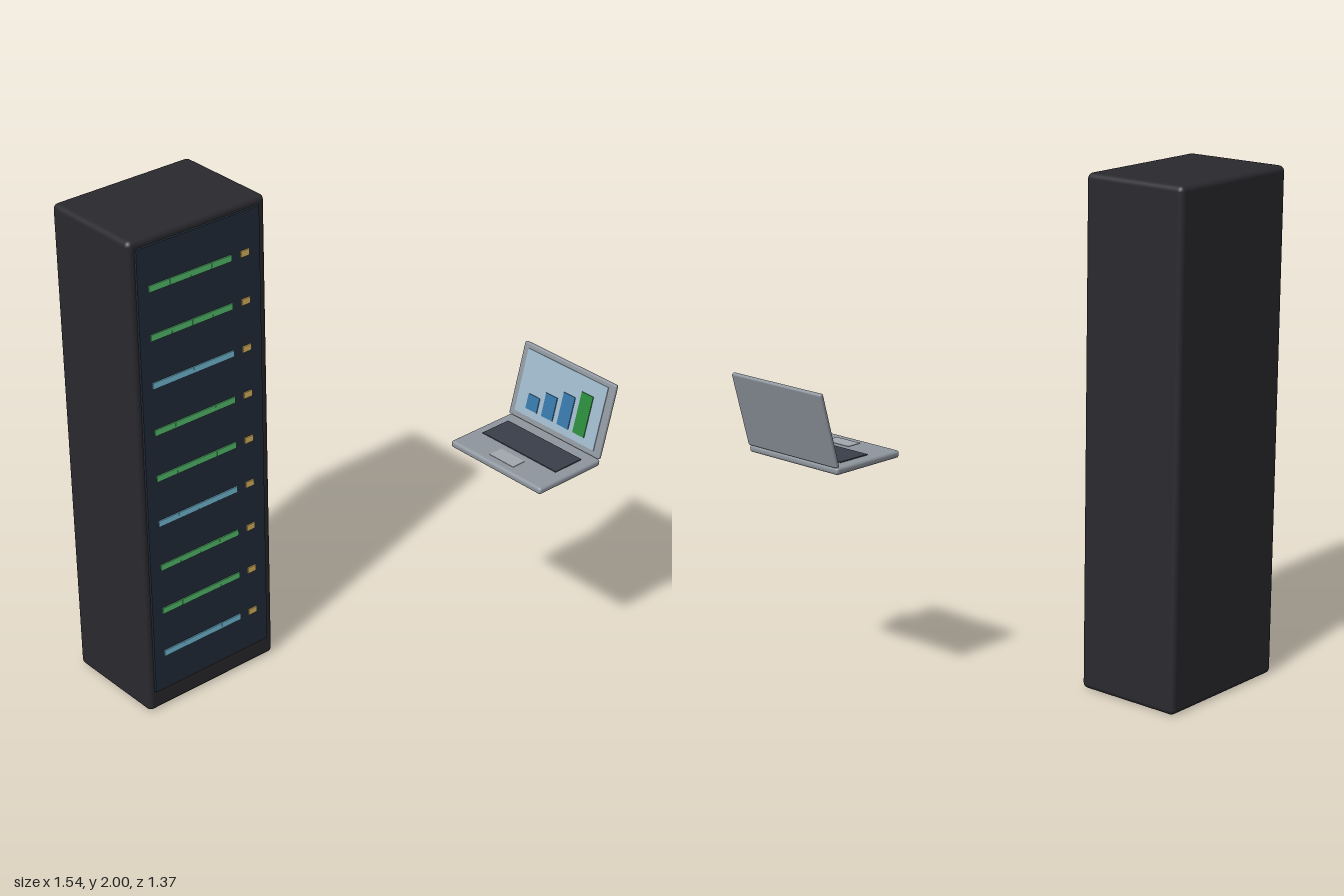
import * as THREE from 'three';
import { RoundedBoxGeometry } from 'three/addons/geometries/RoundedBoxGeometry.js';

const paint = (color) => new THREE.MeshStandardMaterial({ color });
const mats = {
  cabinet: paint(0x2a292e), panel: paint(0x222c3a),
  green: paint(0x57c470), blue: paint(0x78c4e0), amber: paint(0xdfba62),
  shell: paint(0x8f969e), keys: paint(0x3a3f49), pad: paint(0xa3a8b0),
  screen: paint(0x9fb8ca), bar: paint(0x3676a6), tallBar: paint(0x2a8a3a),
};

// Box spanning [x0,x1] x [y0,y1] x [z0,z1], with optional rounded edges
function span(parent, name, mat, [x0, x1], [y0, y1], [z0, z1], radius = 0) {
  const size = [x1 - x0, y1 - y0, z1 - z0];
  const geo = radius ? new RoundedBoxGeometry(...size, 3, radius) : new THREE.BoxGeometry(...size);
  const mesh = new THREE.Mesh(geo, mat);
  mesh.name = name;
  mesh.position.set((x0 + x1) / 2, (y0 + y1) / 2, (z0 + z1) / 2);
  parent.add(mesh);
  return mesh;
}

function buildRack() {
  const rack = new THREE.Group();
  rack.name = 'serverRack';
  span(rack, 'cabinet', mats.cabinet, [-0.77, -0.15], [0, 2], [-0.688, -0.242], 0.022);
  span(rack, 'frontPanel', mats.panel, [-0.743, -0.188], [0.09, 1.97], [-0.26, -0.232]);

  // Nine rows of status lights; every third row is blue
  for (let row = 0; row < 9; row++) {
    const y = 1.805 - row * 0.194;
    const height = [y - 0.0125, y + 0.0125];
    const depth = [-0.24, -0.227];
    for (let i = 0; i < 4; i++) {
      const x = -0.696 + i * 0.0937;
      span(rack, 'statusLight', row % 3 === 2 ? mats.blue : mats.green, [x, x + 0.0925], height, depth);
    }
    span(rack, 'warningLight', mats.amber, [-0.279, -0.241], height, depth);
  }
  return rack;
}

function buildLaptop() {
  const laptop = new THREE.Group();
  laptop.name = 'laptop';
  span(laptop, 'base', mats.shell, [0.366, 0.69], [0.945, 0.974], [0.212, 0.686], 0.012);
  span(laptop, 'keyboard', mats.keys, [0.494, 0.631], [0.968, 0.978], [0.255, 0.641]);
  span(laptop, 'trackpad', mats.pad, [0.402, 0.464], [0.968, 0.976], [0.386, 0.51]);

  // Lid is modelled upright from its lower edge, then leaned back
  const lid = new THREE.Group();
  lid.name = 'lid';
  lid.position.set(0.684, 0.974, 0);
  lid.rotation.z = -THREE.MathUtils.degToRad(14.5);
  span(lid, 'lidShell', mats.shell, [-0.009, 0.009], [0, 0.3], [0.212, 0.686], 0.007);
  span(lid, 'screen', mats.screen, [-0.012, 0], [0.025, 0.28], [0.24, 0.655]);

  // Bar chart rising across the screen
  [0.06, 0.095, 0.13, 0.165].forEach((height, i) => {
    const z = 0.323 + i * 0.0825;
    span(lid, 'chartBar', i === 3 ? mats.tallBar : mats.bar,
      [-0.016, -0.005], [0.055, 0.055 + height], [z - 0.029, z + 0.029]);
  });
  laptop.add(lid);
  return laptop;
}

export function createModel() {
  const model = new THREE.Group();
  model.name = 'serverRackAndLaptop';
  model.add(buildRack(), buildLaptop());
  return model;
}
